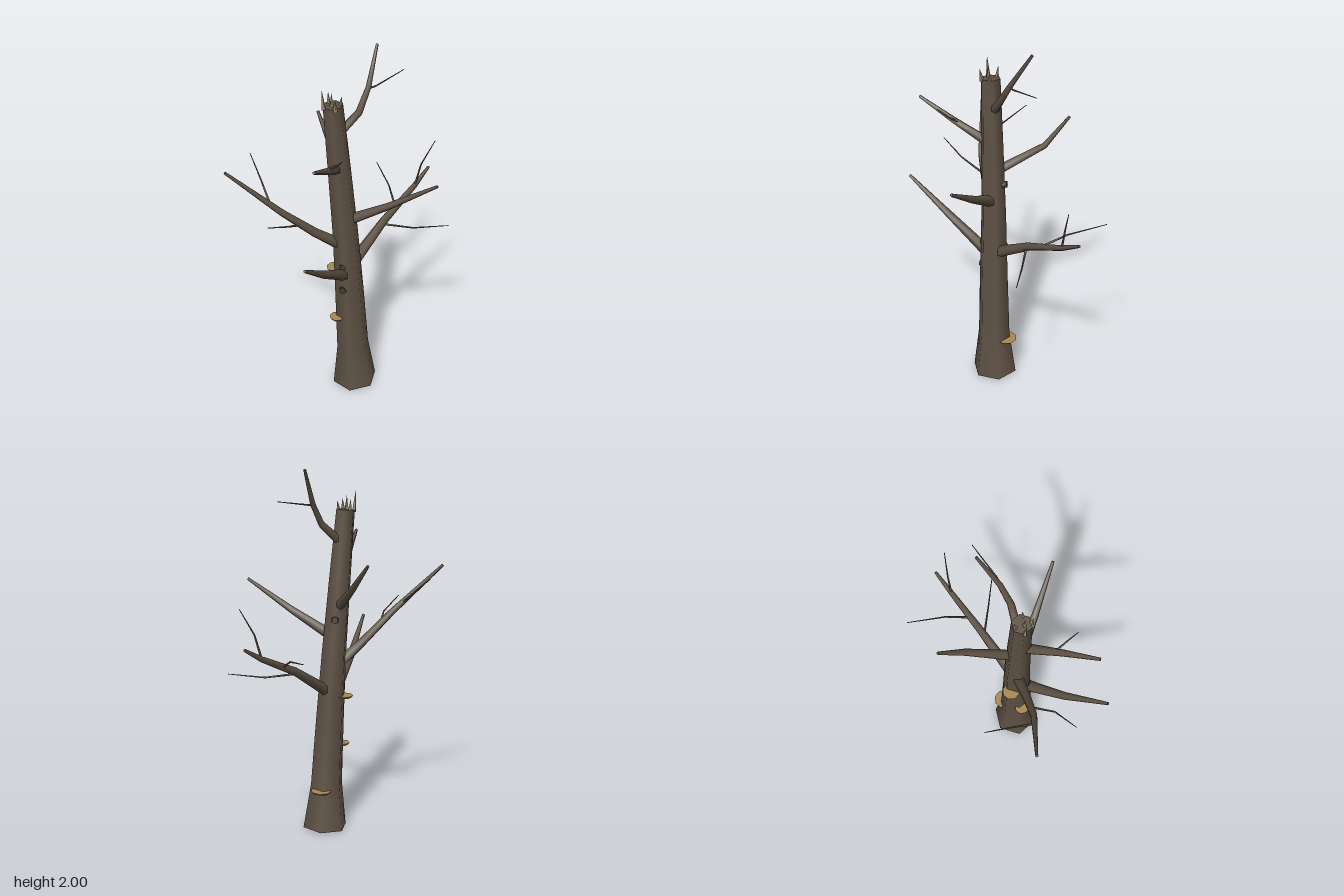
import * as THREE from 'three';

const mat = (name, color) => {
  const m = new THREE.MeshStandardMaterial({ color });
  m.name = name;
  return m;
};
const V = (p) => new THREE.Vector3(...p);
const UP = [0, 1, 0];

// Tapered tube through points; each point is [x, y, z, radius]
function limbGeometry(points, sides, ref = UP) {
  const centres = points.map(([x, y, z]) => V([x, y, z]));
  const pos = [], idx = [], last = points.length - 1;
  const rings = centres.map((c, i) => {
    const t = centres[Math.min(i + 1, last)].clone().sub(centres[Math.max(i - 1, 0)]).normalize();
    const n = V(ref).addScaledVector(t, -V(ref).dot(t)).normalize();
    const b = t.clone().cross(n);
    return Array.from({ length: sides }, (_, j) => {
      const a = (j / sides) * Math.PI * 2;
      return c.clone().addScaledVector(n, Math.cos(a) * points[i][3]).addScaledVector(b, Math.sin(a) * points[i][3]);
    });
  });
  rings.forEach((r) => r.forEach((p) => pos.push(p.x, p.y, p.z)));
  for (let i = 0; i < last; i++) {
    for (let j = 0; j < sides; j++) {
      const k = (j + 1) % sides, a = i * sides, c = a + sides;
      idx.push(a + j, a + k, c + j, a + k, c + k, c + j);
    }
  }
  // end caps use their own vertices so their edges stay sharp
  for (const end of [0, last]) {
    const base = pos.length / 3;
    rings[end].forEach((p) => pos.push(p.x, p.y, p.z));
    for (let j = 1; j < sides - 1; j++) {
      if (end) idx.push(base, base + j, base + j + 1);
      else idx.push(base, base + j + 1, base + j);
    }
  }
  const g = new THREE.BufferGeometry();
  g.setAttribute('position', new THREE.Float32BufferAttribute(pos, 3));
  g.setIndex(idx);
  g.computeVertexNormals();
  return g;
}

export function createModel() {
  const tree = new THREE.Group();
  tree.name = 'deadTree';
  const bark = mat('bark', 0x5e5144);
  const knotBark = mat('darkBark', 0x40362d);
  const paleWood = mat('paleWood', 0x9a8b70);
  const fungus = mat('fungus', 0xa98850);

  const add = (name, geometry, material) => {
    const m = new THREE.Mesh(geometry, material);
    m.name = name;
    tree.add(m);
    return m;
  };

  // Leaning six-sided trunk with a flared foot
  add('trunk', limbGeometry([
    [0.075, 0.008, 0.03, 0.125], [0.065, 0.26, 0.037, 0.091], [0.047, 0.62, 0.044, 0.081],
    [0.025, 1.0, 0.05, 0.07], [-0.004, 1.4, 0.066, 0.061], [-0.032, 1.77, 0.082, 0.052],
  ], 6, [0, 0, 1]), bark);

  // Main branches
  const branches = {
    crownBranch: [[-0.01, 1.6, 0.06, 0.024], [0.08, 1.7, -0.005, 0.019], [0.113, 1.81, -0.07, 0.014], [0.131, 1.995, -0.187, 0.007]],
    rightLongBranch: [[0.0, 0.94, 0.06, 0.033], [-0.12, 1.05, 0.14, 0.025], [-0.265, 1.2, 0.225, 0.019], [-0.532, 1.453, 0.313, 0.008]],
    leftBranch: [[0.03, 1.09, 0.052, 0.032], [0.26, 1.225, 0.075, 0.02], [0.505, 1.385, 0.093, 0.008]],
    backLongBranch: [[0.06, 0.8, 0.01, 0.032], [0.185, 0.955, -0.2, 0.022], [0.312, 1.07, -0.412, 0.015], [0.372, 1.14, -0.517, 0.008]],
    backRightBranch: [[-0.005, 1.26, 0.04, 0.028], [-0.11, 1.395, -0.185, 0.018], [-0.204, 1.535, -0.288, 0.008]],
    frontUpperBranch: [[-0.01, 1.41, 0.08, 0.028], [-0.015, 1.51, 0.28, 0.018], [-0.03, 1.61, 0.475, 0.008]],
    frontLowerBranch: [[0.035, 0.745, 0.06, 0.034], [-0.025, 0.925, 0.33, 0.021], [-0.06, 1.105, 0.568, 0.008]],
  };
  for (const [name, pts] of Object.entries(branches)) add(name, limbGeometry(pts, 6), bark);

  // Thin twigs, tapering from root to tip
  const twigs = [
    [[0.113, 1.805, -0.07], [0.145, 1.81, -0.095], [0.257, 1.84, -0.252]],
    [[-0.2, 1.115, 0.195], [-0.21, 1.185, 0.32], [-0.277, 1.25, 0.45]],
    [[-0.33, 1.26, 0.235], [-0.4, 1.335, 0.144], [-0.486, 1.42, 0.037]],
    [[0.18, 0.94, -0.185], [0.345, 0.92, -0.215], [0.534, 0.94, -0.25]],
    [[0.312, 1.07, -0.412], [0.342, 1.2, -0.435], [0.408, 1.335, -0.468]],
    [[0.225, 1.005, -0.29], [0.17, 1.06, -0.4], [0.064, 1.096, -0.578]],
    [[-0.015, 1.5, 0.25], [0.03, 1.545, 0.29], [0.073, 1.605, 0.336]],
  ];
  const twigRadii = [0.0065, 0.0045, 0.002];
  for (const t of twigs) add('twig', limbGeometry(t.map((p, i) => [...p, twigRadii[i]]), 5), bark);

  // Short knots left by lost branches
  const knots = [
    [[0.03, 0.68, 0.095], [0.027, 0.685, 0.13]],
    [[0.026, 0.825, 0.085], [0.024, 0.83, 0.122]],
    [[0.012, 1.19, 0.015], [0.008, 1.195, -0.018]],
  ];
  for (const [a, b] of knots) add('knot', limbGeometry([[...a, 0.023], [...b, 0.019]], 6), knotBark);

  // Splinters around the broken top
  const splinters = [[-0.072, 0.11, 0.1], [-0.035, 0.095, 0.075], [0.003, 0.075, 0.05], [-0.058, 0.06, 0.06], [-0.012, 0.12, 0.055]];
  for (const [x, z, h] of splinters) {
    const dx = (x + 0.032) * 0.2, dz = (z - 0.082) * 0.3;
    add('splinter', limbGeometry([[x, 1.755, z, 0.013], [x + dx, 1.765 + h, z + dz, 0.0005]], 4), paleWood);
  }

  // Bracket fungi: thin flat discs half sunk in the bark [x, y, z, radius]
  const shelves = [[0.08, 0.235, -0.042, 0.058], [-0.035, 0.765, 0.035, 0.048], [-0.012, 0.475, 0.095, 0.042]];
  for (const [x, y, z, r] of shelves) {
    add('bracketFungus', new THREE.CylinderGeometry(r, r * 0.8, 0.012, 8), fungus).position.set(x, y, z);
  }
  return tree;
}
